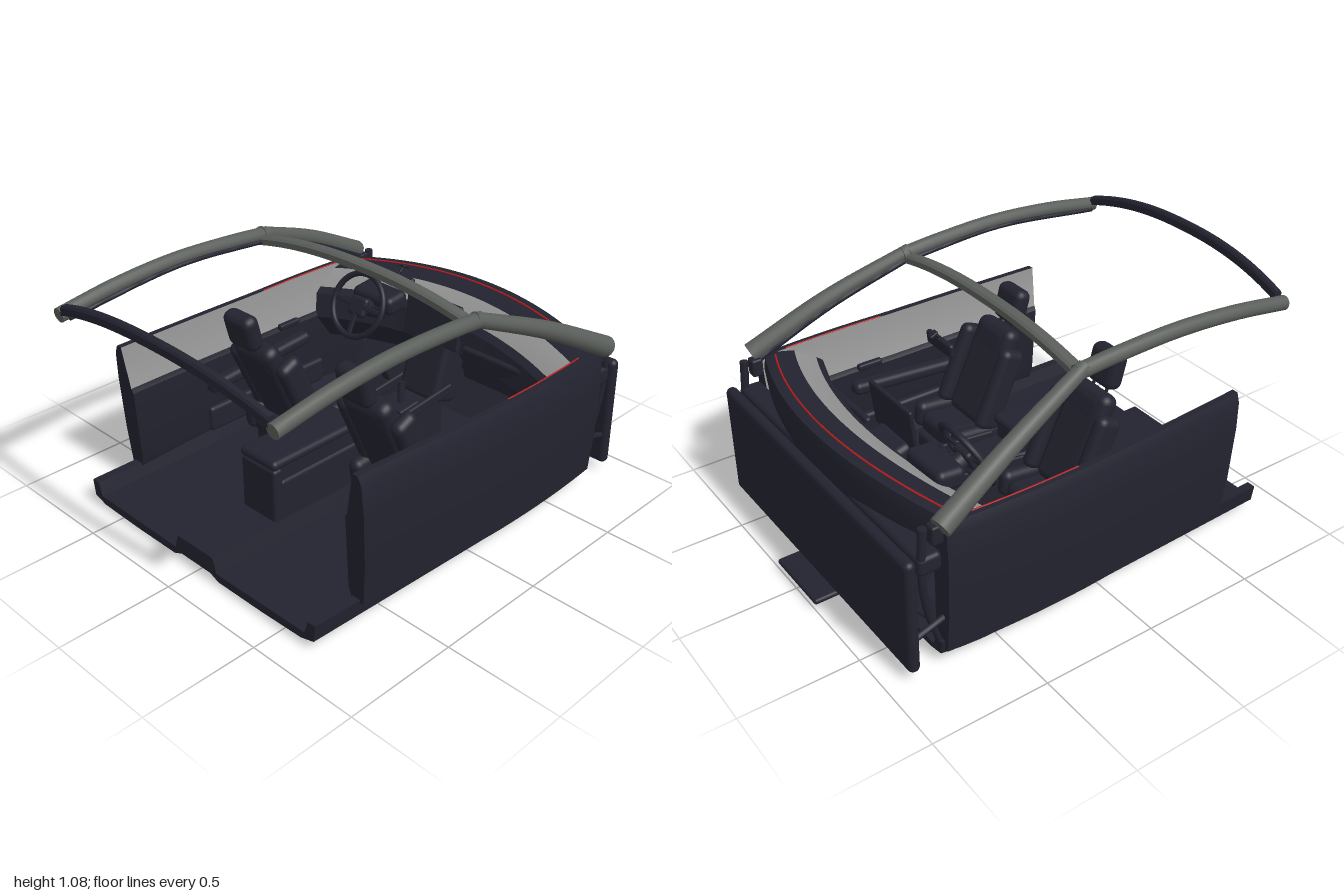
import * as THREE from 'three';
import { toCreasedNormals } from 'three/addons/utils/BufferGeometryUtils.js';
import { RoundedBoxGeometry } from 'three/addons/geometries/RoundedBoxGeometry.js';

const V = (x, y, z) => new THREE.Vector3(x, y, z);

// Closed skin through matching rings of points; matOf(edge) picks the material group.
function loft(rings, crease = 0.6, matOf = () => 0) {
  const n = rings[0].length, tris = [], groups = [];
  for (let j = 0; j < n; j++) {
    const k = (j + 1) % n, start = tris.length;
    for (let i = 0; i < rings.length - 1; i++) {
      const [a, b, c, d] = [rings[i][j], rings[i][k], rings[i + 1][k], rings[i + 1][j]];
      tris.push([a, b, c], [a, c, d]);
    }
    groups.push([start, tris.length - start, matOf(j)]);
  }
  const start = tris.length;
  const axes = ['x', 'y', 'z'].sort((a, b) => spread(rings[0], a) - spread(rings[0], b));
  const flat = (r) => r.map((p) => new THREE.Vector2(p[axes[1]], p[axes[2]]));
  const caps = THREE.ShapeUtils.triangulateShape(flat(rings[0]), []);
  const last = rings[rings.length - 1];
  // Match the cap winding to the side walls.
  const sign = THREE.ShapeUtils.area(flat(rings[0])) > 0;
  for (const [a, b, c] of caps) {
    const t = THREE.ShapeUtils.area(flat([rings[0][a], rings[0][b], rings[0][c]])) > 0;
    const [p, q] = t === sign ? [b, c] : [c, b];
    tris.push([rings[0][a], rings[0][q], rings[0][p]], [last[a], last[p], last[q]]);
  }
  groups.push([start, tris.length - start, 0]);
  let vol = 0;
  for (const [a, b, c] of tris) vol += a.dot(b.clone().cross(c));
  const geo = new THREE.BufferGeometry().setFromPoints(
    tris.flatMap(([a, b, c]) => (vol > 0 ? [a, b, c] : [a, c, b])));
  for (const [s, c, m] of groups) geo.addGroup(s * 3, c * 3, m);
  return toCreasedNormals(geo, crease);
}
const spread = (r, k) => Math.max(...r.map((p) => p[k])) - Math.min(...r.map((p) => p[k]));
const steps = (a, b, n) => Array.from({ length: n + 1 }, (_, i) => a + ((b - a) * i) / n);

// Round bar along points, tapering from r0 to r1.
function bar(pts, r0, r1 = r0, n = 20, sides = 14) {
  const curve = new THREE.CatmullRomCurve3(pts.map((p) => V(...p)));
  return loft(steps(0, 1, n).map((t) => {
    const c = curve.getPoint(t), d = curve.getTangent(t), r = r0 + (r1 - r0) * t;
    const u = d.clone().cross(Math.abs(d.y) > 0.9 ? V(0, 0, 1) : V(0, 1, 0)).normalize();
    const w = u.clone().cross(d);
    return steps(0, Math.PI * 2, sides).slice(0, sides).map((a) =>
      c.clone().addScaledVector(u, Math.cos(a) * r).addScaledVector(w, Math.sin(a) * r));
  }), 0.8);
}

export function createModel() {
  const car = new THREE.Group();
  car.name = 'carCabin';
  const mat = (name, color) => {
    const m = new THREE.MeshStandardMaterial({ color });
    m.name = name;
    return m;
  };
  const dark = mat('darkTrim', 0x232330);
  const grey = mat('pillarGrey', 0x5a5e5a);
  const pale = mat('paleTrim', 0x929292);
  const red = mat('redStitch', 0xb81c1c);
  const add = (name, geo, m = dark, parent = car) => {
    const mesh = new THREE.Mesh(geo, m);
    mesh.name = name;
    parent.add(mesh);
    return mesh;
  };
  const box = (name, size, pos, tilt = 0, r = 0.01, m = dark, parent = car) => {
    const mesh = add(name, new RoundedBoxGeometry(...size, 3, Math.min(r, Math.min(...size) / 2.01)), m, parent);
    mesh.position.set(...pos);
    mesh.rotation.z = tilt;
    return mesh;
  };

  // Floor pan with raised sills and a central tunnel
  const half = [[0.09, 0.02], [0.14, 0.0], [0.4, 0.0], [0.62, 0.006], [0.69, 0.025], [0.7, 0.1], [0.66, 0.1],
    [0.64, 0.04], [0.13, 0.035], [0.11, 0.1]];
  const mirrored = [...half, ...half.map(([z, y]) => [-z, y]).reverse()];
  add('floorPan', loft(steps(-0.86, 0.76, 18).map((x) => {
    const rear = Math.max(0, (0.1 - x) / 0.96), front = Math.max(0, (x - 0.5) / 0.26);
    return mirrored.map(([z, y]) => V(x, y * (1 - 0.2 * front) + 0.018 * rear + 0.03 * front * front,
      z * (1 - 0.03 * rear)));
  }), 0.7));
  box('toeBoard', [0.36, 0.02, 1.3], [0.73, 0.15, 0], 0.85);
  box('frontTongue', [0.2, 0.025, 0.32], [0.9, 0.032, 0], 0, 0.012);
  box('underPlateFront', [0.6, 0.01, 0.2], [0.52, 0.018, 0]);
  box('underPlateRear', [0.62, 0.012, 0.3], [-0.5, 0.012, 0]);

  // Bulkhead
  add('bulkhead', new RoundedBoxGeometry(0.05, 0.51, 1.44, 4, 0.024)).position.set(0.885, 0.295, 0);
  box('crossBeam', [0.1, 0.08, 1.42], [0.8, 0.5, 0], 0, 0.02);

  // Dashboard swept across the cabin, bowed forward in the middle
  const dashX = (x, z) => x - 0.13 * (z / 0.66) ** 2;
  const dashY = (y, z) => y - 0.04 * (z / 0.66) ** 2;
  const dash = [[0.86, 0.5], [0.875, 0.65], [0.865, 0.7], [0.81, 0.7], [0.73, 0.68], [0.63, 0.615], [0.6, 0.59],
    [0.57, 0.48], [0.65, 0.36], [0.78, 0.36]];
  add('dashboard', loft(steps(-0.69, 0.69, 28).map((z) => dash.map(([x, y]) => V(dashX(x, z), dashY(y, z), z))),
    0.5, (j) => (j === 4 ? 1 : 0)), [dark, pale]);
  add('dashStitch', bar(steps(-0.66, 0.66, 12).map((z) => [dashX(0.82, z), dashY(0.7025, z), z]), 0.004, 0.004, 40, 6), red);
  box('gloveBox', [0.03, 0.16, 0.4], [0.545, 0.47, 0.36], 0.15, 0.014);
  box('instrumentHood', [0.13, 0.09, 0.24], [0.545, 0.61, -0.35], 0.1, 0.03);
  box('centreScreen', [0.02, 0.21, 0.31], [0.51, 0.63, 0.005], -0.12);
  box('centreStack', [0.16, 0.3, 0.22], [0.53, 0.4, 0], -0.3, 0.03);

  // Steering wheel and column
  const wheel = new THREE.Group();
  wheel.name = 'steeringWheel';
  wheel.position.set(0.405, 0.615, -0.355);
  wheel.rotation.set(0, -Math.PI / 2, -0.45, 'ZYX');
  car.add(wheel);
  add('wheelRim', new THREE.TorusGeometry(0.145, 0.014, 10, 40), dark, wheel);
  box('wheelHub', [0.1, 0.09, 0.035], [0, -0.005, -0.01], 0, 0.016, dark, wheel);
  for (const a of [0, Math.PI, -Math.PI / 2]) {
    box('wheelSpoke', [0.12, 0.025, 0.014], [Math.cos(a) * 0.09, Math.sin(a) * 0.09, 0], a, 0.006, dark, wheel);
  }
  add('steeringColumn', bar([[0.41, 0.61, -0.355], [0.6, 0.52, -0.355]], 0.035, 0.045, 4));
  for (const s of [1, -1]) add('columnStalk', bar([[0.47, 0.59, -0.355], [0.45, 0.61, -0.355 + s * 0.12]], 0.007, 0.009, 3, 8));
  for (const z of [-0.27, -0.38]) box('pedal', [0.015, 0.08, 0.05], [0.62, 0.17, z], 0.5);

  // Centre console with armrest, cup holders and gear lever
  box('consoleBase', [0.98, 0.24, 0.2], [0, 0.17, 0], 0, 0.02);
  box('consoleRearPost', [0.05, 0.3, 0.2], [-0.5, 0.2, 0], 0, 0.015);
  box('consoleBox', [0.46, 0.18, 0.18], [-0.27, 0.27, 0], 0, 0.02);
  box('armrest', [0.5, 0.045, 0.21], [-0.28, 0.37, 0], 0, 0.022);
  for (const z of [-0.115, 0.115]) box('consoleRail', [0.56, 0.05, 0.02], [0.24, 0.3, z], 0.1);
  for (const z of [-0.042, 0.038]) {
    const ring = add('cupHolder', new THREE.TorusGeometry(0.032, 0.006, 8, 24));
    ring.rotation.x = Math.PI / 2;
    ring.position.set(0.15, 0.297, z);
  }
  box('gearPlate', [0.12, 0.02, 0.14], [0.29, 0.3, 0.01], 0.1);
  add('gearLever', bar([[0.29, 0.3, 0.02], [0.31, 0.4, 0.01]], 0.012, 0.018, 4, 10));

  // Front seats
  for (const z of [-0.325, 0.325]) {
    const seat = new THREE.Group();
    seat.name = 'frontSeat';
    seat.position.z = z;
    car.add(seat);
    box('seatBase', [0.26, 0.14, 0.28], [0, 0.1, 0], 0, 0.02, dark, seat);
    box('seatCushion', [0.3, 0.1, 0.24], [-0.02, 0.22, 0], 0.12, 0.04, dark, seat);
    box('seatBack', [0.09, 0.46, 0.24], [-0.15, 0.46, 0], 0.42, 0.04, dark, seat);
    box('shoulderPad', [0.1, 0.14, 0.22], [-0.215, 0.6, 0], 0.38, 0.045, dark, seat);
    for (const s of [1, -1]) {
      box('cushionBolster', [0.3, 0.12, 0.07], [-0.02, 0.235, s * 0.145], 0.12, 0.034, dark, seat);
      box('backBolster', [0.12, 0.38, 0.07], [-0.12, 0.44, s * 0.145], 0.42, 0.034, dark, seat);
      add('headrestPost', bar([[-0.25, 0.62, s * 0.04], [-0.285, 0.72, s * 0.04]], 0.007, 0.007, 2, 8), dark, seat);
    }
    box('headrest', [0.08, 0.165, 0.165], [-0.295, 0.748, 0], 0.25, 0.035, dark, seat);
  }

  // Doors, pillars and roof rails, mirrored side to side
  const doorProfile = [[0.735, 0.07], [0.75, 0.25], [0.755, 0.5], [0.748, 0.62], [0.732, 0.66], [0.705, 0.66],
    [0.672, 0.47], [0.66, 0.45], [0.66, 0.12], [0.675, 0.07]];
  const doorShift = (x) => (x < 0.3 ? -0.035 * ((0.3 - x) / 0.95) ** 1.5 : -0.02 * ((x - 0.3) / 0.45) ** 2);
  for (const s of [1, -1]) {
    add('door', loft(steps(-0.65, 0.745, 18).map((x) => doorProfile.map(([z, y]) => {
      const back = Math.max(0, (0.1 - x) / 0.75), k = (y - 0.07) / 0.59;
      return V(x - 0.015 * back * (k * 2 - 1), y + back * (0.03 - 0.015 * k) - 0.005 * (1 - back) * k, s * (z + doorShift(x)));
    })), 0.5, (j) => (j === 5 ? 1 : 0)), [dark, pale]);
    add('doorStitch', bar(steps(0.15, 0.62, 5).map((x) => [x, 0.655, s * (0.708 + doorShift(x))]), 0.0035, 0.0035, 12, 6), red);
    box('doorArmrest', [0.6, 0.06, 0.07], [0.05, 0.36, s * 0.635], 0.08, 0.025);
    box('doorPocket', [0.7, 0.12, 0.04], [0.1, 0.17, s * 0.645], 0, 0.018);
    box('doorHandle', [0.12, 0.03, 0.03], [0.25, 0.47, s * 0.65]);
    add('hingeTrim', bar([[0.82, 0.66, s * 0.69], [0.83, 0.45, s * 0.69], [0.8, 0.25, s * 0.68], [0.75, 0.09, s * 0.67]], 0.018, 0.012));
    box('hingePost', [0.05, 0.08, 0.05], [0.77, 0.62, s * 0.69]);
    add('hingeStrut', bar([[0.74, 0.22, s * 0.69], [0.87, 0.18, s * 0.69]], 0.014, 0.014, 2, 8));
    add('windscreenPillar', bar([[0.05, 0.995, s * 0.598], [0.42, 0.845, s * 0.67], [0.77, 0.665, s * 0.727]], 0.03, 0.045), grey);
    add('pillarSeal', bar([[0.07, 0.965, s * 0.58], [0.42, 0.82, s * 0.643], [0.75, 0.65, s * 0.69]], 0.012, 0.014));
    add('roofRail', bar([[-0.97, 0.948, s * 0.61], [-0.7, 0.988, s * 0.61], [-0.4, 1.008, s * 0.608], [-0.1, 0.998, s * 0.603],
      [0.09, 0.982, s * 0.6]], 0.031, 0.032), grey);
    add('railSeal', bar([[-0.94, 0.935, s * 0.583], [-0.4, 0.99, s * 0.58], [0.06, 0.965, s * 0.573]], 0.01));
  }

  // Arched bars across the roof
  const arch = (w, x0, x1, y0, y1, hx, hy) => loft(steps(-w, w, 24).map((z) => {
    const t = 1 - Math.abs(z / w) ** 2.3, x = x0 + (x1 - x0) * t, y = y0 + (y1 - y0) * t;
    return [[-hx, -hy], [hx, -hy], [hx, hy * 0.5], [hx * 0.6, hy], [-hx * 0.6, hy], [-hx, hy * 0.5]]
      .map(([a, b]) => V(x + a, y + b, z));
  }));
  add('windscreenHeader', arch(0.59, 0.06, 0.062, 0.965, 1.028, 0.028, 0.017), grey);
  add('rearRoofBar', arch(0.59, -0.955, -0.982, 0.975, 1.06, 0.018, 0.02));

  // Rear-view mirror
  box('mirror', [0.025, 0.06, 0.175], [0.285, 0.89, 0], -0.1, 0.012);
  add('mirrorStem', bar([[0.285, 0.9, 0], [0.3, 0.93, 0], [0.335, 0.94, 0]], 0.008, 0.006, 8, 8));
  box('mirrorMount', [0.04, 0.012, 0.03], [0.32, 0.942, 0], -0.45);
  return car;
}
